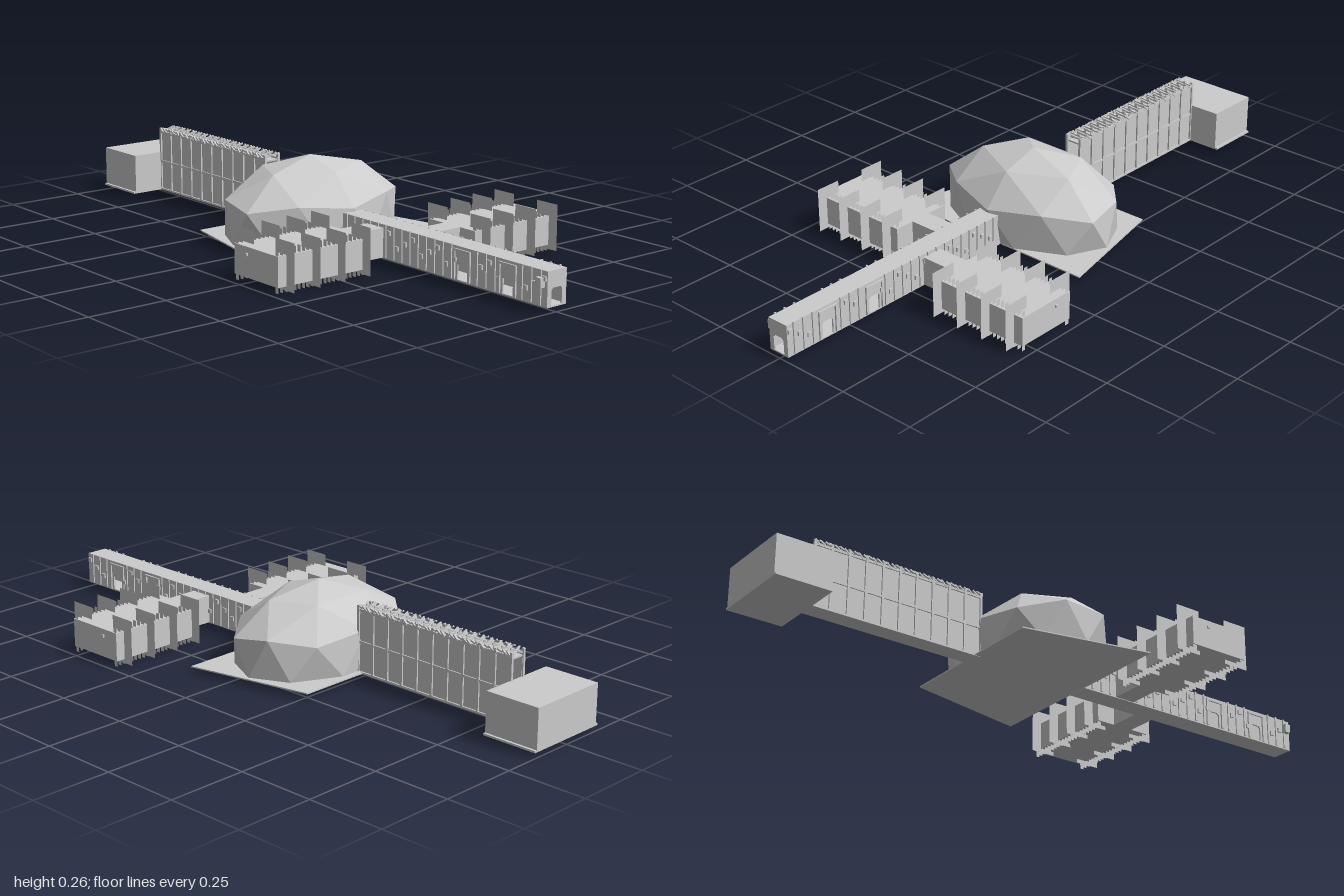
import * as THREE from 'three';

const grey = new THREE.MeshStandardMaterial({ color: 0xcccccc, flatShading: true });
const thin = new THREE.MeshStandardMaterial({ color: 0xcccccc, flatShading: true, side: THREE.DoubleSide });

function add(parent, name, geometry, material = grey) {
  const m = new THREE.Mesh(geometry, material);
  m.name = name;
  parent.add(m);
  return m;
}

// box given by its two corners
function box(parent, name, x0, x1, y0, y1, z0, z1) {
  const m = add(parent, name, new THREE.BoxGeometry(x1 - x0, y1 - y0, z1 - z0));
  m.position.set((x0 + x1) / 2, (y0 + y1) / 2, (z0 + z1) / 2);
  return m;
}

// square bar between two points
function bar(parent, name, a, b, t) {
  const p = new THREE.Vector3(...a), q = new THREE.Vector3(...b);
  const m = add(parent, name, new THREE.BoxGeometry(t, t, p.distanceTo(q)));
  m.position.copy(p).add(q).multiplyScalar(0.5);
  m.lookAt(q);
}

function group(parent, name) {
  const g = new THREE.Group();
  g.name = name;
  parent.add(g);
  return g;
}

// upright wall along +x with arched doorways open at the floor
function wallWithDoors(length, height, doors, thickness) {
  const s = new THREE.Shape();
  s.moveTo(0, 0);
  for (const d of doors) {
    s.lineTo(d - 0.02, 0);
    s.lineTo(d - 0.02, 0.043);
    s.lineTo(d - 0.014, 0.05);
    s.lineTo(d + 0.014, 0.05);
    s.lineTo(d + 0.02, 0.043);
    s.lineTo(d + 0.02, 0);
  }
  s.lineTo(length, 0);
  s.lineTo(length, height);
  s.lineTo(0, height);
  return new THREE.ExtrudeGeometry(s, { depth: thickness, bevelEnabled: false });
}

// faceted dome: apex, five-point ring, ten-point ring, ten-point foot
function domeGeometry() {
  const at = (deg, r, y) => {
    const a = THREE.MathUtils.degToRad(deg);
    return [0.345 * r * Math.sin(a), 0.02 + 0.24 * y, -0.053 + 0.235 * r * Math.cos(a)];
  };
  const top = at(0, 0, 1);
  const upper = k => at(72 * k, 0.526, 0.85);
  const middle = j => (j % 2 ? at(36 * j, 0.85, 0.526) : at(36 * j, 0.894, 0.447));
  const foot = j => at(18 + 36 * j, 0.86, 0);
  const v = [];
  for (let k = 0; k < 5; k++) {
    const j = 2 * k;
    v.push(top, upper(k), upper(k + 1));
    v.push(upper(k), middle(j), middle(j + 1));
    v.push(upper(k), middle(j + 1), upper(k + 1));
    v.push(upper(k + 1), middle(j + 1), middle(j + 2));
  }
  for (let j = 0; j < 10; j++) {
    v.push(middle(j), foot(j), middle(j + 1));
    v.push(middle(j + 1), foot(j), foot(j + 1));
  }
  const g = new THREE.BufferGeometry();
  g.setAttribute('position', new THREE.Float32BufferAttribute(v.flat(), 3));
  g.computeVertexNormals();
  return g;
}

function buildPlatform(root) {
  const s = new THREE.Shape([[-0.35, -0.14], [0.35, -0.14], [0.265, 0.265], [-0.265, 0.265]]
    .map(p => new THREE.Vector2(...p)));
  const m = add(root, 'domePlatform', new THREE.ExtrudeGeometry(s, { depth: 0.004, bevelEnabled: false }));
  m.rotation.x = -Math.PI / 2;
  m.position.y = 0.017;
}

function buildFrontCorridor(root) {
  const g = group(root, 'frontCorridor');
  const z0 = 0.14, z1 = 1;
  box(g, 'floor', -0.036, 0.036, 0.016, 0.02, z0, z1);
  box(g, 'roof', -0.036, 0.036, 0.113, 0.118, z0, z1);
  for (const s of [-1, 1]) {
    // side wall with two doorways, running from the front end backwards
    const wall = add(g, 'sideWall', wallWithDoors(z1 - z0, 0.094, [0.15, 0.33], 0.005));
    wall.rotation.y = Math.PI / 2;
    wall.position.set(s > 0 ? 0.031 : -0.036, 0.02, z1);
    for (const z of [0.85, 0.67]) {
      for (const d of [-0.031, 0.031]) box(g, 'doorPost', s * 0.038 - 0.003, s * 0.038 + 0.003, 0.02, 0.11, z + d - 0.003, z + d + 0.003);
      box(g, 'doorLintel', s * 0.038 - 0.003, s * 0.038 + 0.003, 0.104, 0.11, z - 0.034, z + 0.034);
    }
    // wall ribs and small fittings
    for (let i = 0; i < 24; i++) {
      const z = 0.17 + i * 0.035;
      if (Math.abs(z - 0.85) < 0.034 || Math.abs(z - 0.67) < 0.034) continue;
      box(g, 'rib', s * 0.037 - 0.003, s * 0.037 + 0.003, 0.02, 0.12, z - 0.003, z + 0.003);
      const y = 0.05 + 0.02 * (i % 3);
      box(g, 'fitting', s * 0.037 - 0.004, s * 0.037 + 0.004, y, y + 0.014, z + 0.008, z + 0.022);
    }
  }
  const end = add(g, 'endWall', wallWithDoors(0.072, 0.094, [0.036], 0.005));
  end.position.set(-0.036, 0.02, z1 - 0.005);
  box(g, 'doorPanel', -0.053, -0.036, 0.072, 0.1, 0.97, 0.99);
}

function buildRearCorridor(root) {
  const g = group(root, 'rearCorridor');
  const z0 = -0.82, z1 = -0.245, n = 10;
  const step = (z1 - z0) / n;
  box(g, 'floor', -0.03, 0.03, 0.016, 0.022, z0, z1);
  box(g, 'roof', -0.024, 0.024, 0.205, 0.21, z0, z1);
  for (const s of [-1, 1]) {
    box(g, 'wall', s * 0.023 - 0.002, s * 0.023 + 0.002, 0.02, 0.215, z0, z1);
    box(g, 'midRail', s * 0.026 - 0.003, s * 0.026 + 0.003, 0.11, 0.118, z0, z1);
    box(g, 'topRail', s * 0.026 - 0.003, s * 0.026 + 0.003, 0.21, 0.218, z0, z1);
    for (let i = 0; i <= n; i++) {
      const z = z0 + i * step;
      box(g, 'post', s * 0.026 - 0.004, s * 0.026 + 0.004, 0.02, 0.228, z - 0.004, z + 0.004);
    }
  }
  // tangled roof lattice
  const m = 36, d = (z1 - z0) / m;
  for (let i = 0; i < m; i++) {
    const z = z0 + i * d, s = i % 2 ? 1 : -1;
    bar(g, 'roofLattice', [-0.028 * s, 0.214, z], [0.028 * s, 0.228, z + d], 0.005);
    bar(g, 'roofLattice', [0.028 * s, 0.214, z], [-0.012 * s, 0.23, z + d], 0.005);
    bar(g, 'roofLattice', [0.028, 0.212 + 0.005 * (i % 3), z], [0.028, 0.228, z + d], 0.005);
    bar(g, 'roofLattice', [-0.028, 0.228, z], [-0.028, 0.212 + 0.005 * (i % 3), z + d], 0.005);
  }
}

// side block with a link to the corridor and paper-thin fins across its long walls
function buildWing(root, side, zMid) {
  const g = group(root, side > 0 ? 'leftWing' : 'rightWing');
  const span = (name, a, b, y0, y1, za, zb) =>
    box(g, name, Math.min(side * a, side * b), Math.max(side * a, side * b), y0, y1, za, zb);
  span('block', 0.142, 0.477, 0.018, 0.108, zMid - 0.1, zMid + 0.1);
  span('link', 0.034, 0.144, 0.018, 0.108, zMid - 0.035, zMid + 0.035);
  const fin = (name, x, z, w, y0, y1) => {
    const m = add(g, name, new THREE.PlaneGeometry(w, y1 - y0), thin);
    m.rotation.y = Math.PI / 2;
    m.position.set(side * x, (y0 + y1) / 2, z);
  };
  for (const e of [-1, 1]) {
    const z = zMid + e * 0.092;
    for (let i = 0; i < 4; i++) fin('largeFin', 0.17 + i * 0.092, z, 0.085, 0.005, 0.148);
    for (let i = 0; i < 22; i++) fin('smallFin', 0.148 + i * 0.0155, z, 0.014, 0, 0.128);
  }
  span('endFitting', 0.477, 0.482, 0.082, 0.09, zMid - 0.045, zMid - 0.037);
}

export function createModel() {
  const root = new THREE.Group();
  root.name = 'station';
  add(root, 'dome', domeGeometry());
  buildPlatform(root);
  buildFrontCorridor(root);
  buildRearCorridor(root);
  buildWing(root, -1, 0.298);
  buildWing(root, 1, 0.434);
  // rear block on a slightly wider base
  box(root, 'rearBlock', -0.132, 0.132, 0.02, 0.145, -1, -0.82);
  box(root, 'rearBlockBase', -0.14, 0.14, 0.016, 0.022, -1, -0.82);
  return root;
}
